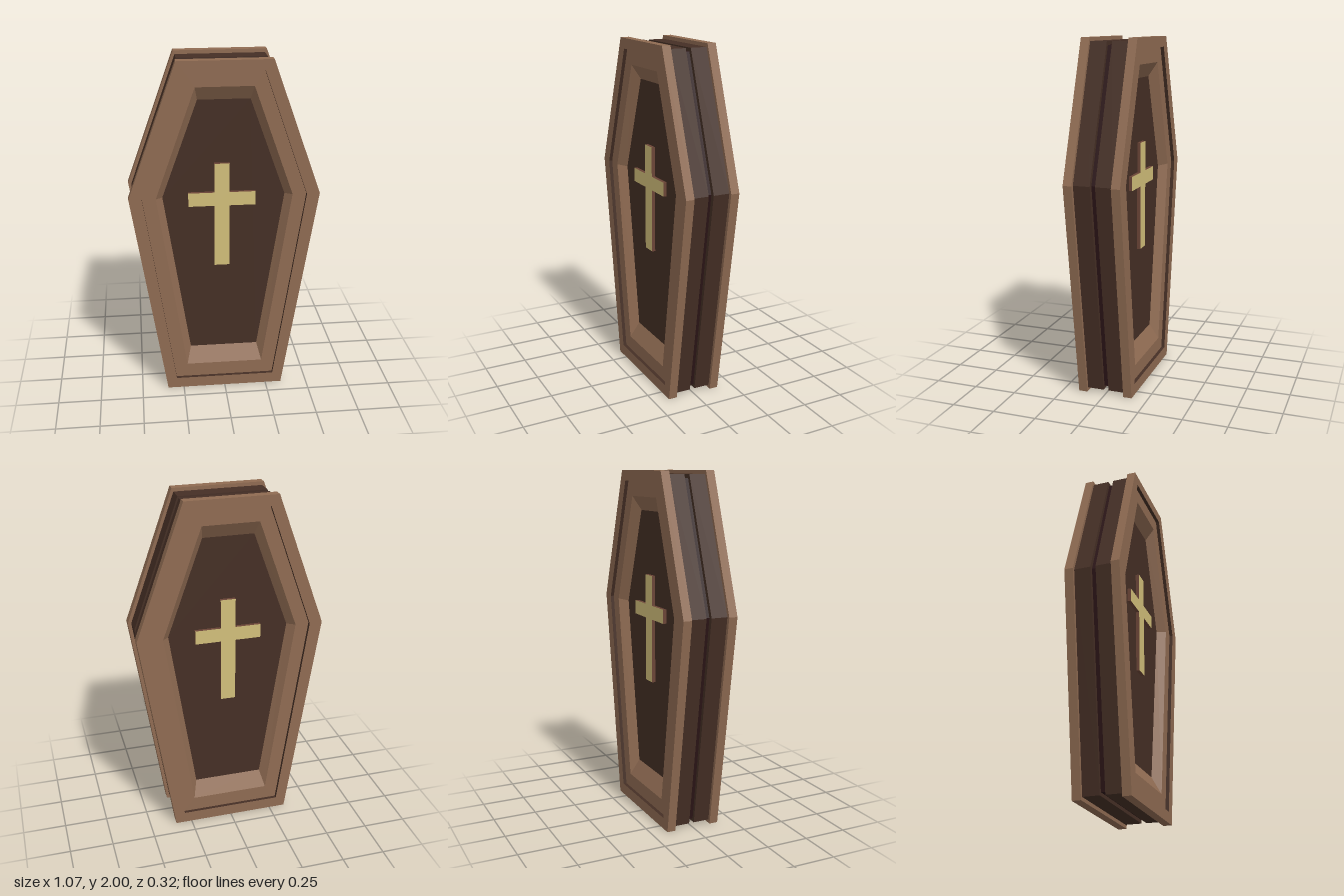
import * as THREE from 'three';

const material = (name, color) => {
  const m = new THREE.MeshStandardMaterial({ color });
  m.name = name;
  return m;
};

// Six-sided coffin outline, counter-clockwise seen from the front
const outline = (yBottom, xBottom, yMid, xMid, yTop, xTop) => [
  [xBottom, yBottom], [xMid, yMid], [xTop, yTop],
  [-xTop, yTop], [-xMid, yMid], [-xBottom, yBottom],
];

// Flat-sided band joining two outlines at two depths
function band(a, za, b, zb) {
  const pos = [];
  for (let i = 0; i < 6; i++) {
    const j = (i + 1) % 6;
    const a0 = [...a[i], za], a1 = [...a[j], za], b0 = [...b[i], zb], b1 = [...b[j], zb];
    pos.push(...a0, ...a1, ...b1, ...a0, ...b1, ...b0);
  }
  const g = new THREE.BufferGeometry();
  g.setAttribute('position', new THREE.Float32BufferAttribute(pos, 3));
  g.computeVertexNormals();
  return g;
}

const shapeOf = (pts) => new THREE.Shape(pts.map(([x, y]) => new THREE.Vector2(x, y)));

export function createModel() {
  const wood = material('lightWood', 0x8f6b52);
  const dark = material('darkWood', 0x452f25);
  const seamMat = material('seamShadow', 0x2b1416);
  const gold = material('paleGold', 0xd2bf7a);
  const edge = material('crossEdge', 0x6a4436);

  const seam = outline(0.04, 0.315, 1.24, 0.49, 1.96, 0.235);
  const body = outline(0.02, 0.33, 1.24, 0.515, 1.98, 0.25);
  const rim = outline(0, 0.345, 1.24, 0.535, 2, 0.26);
  const step = outline(0.065, 0.292, 1.236, 0.462, 1.94, 0.214);
  const opening = outline(0.15, 0.225, 1.23, 0.384, 1.855, 0.16);
  const floor = outline(0.245, 0.2, 1.22, 0.346, 1.775, 0.145);

  // Profile from the centre seam out to the rim and into the recess
  const profile = [
    ['seam', seam, 0, seam, 0.015, seamMat],
    ['bodyLip', seam, 0.015, body, 0.015, dark],
    ['bodySide', body, 0.015, body, 0.11, dark],
    ['rimUnderside', body, 0.11, rim, 0.11, wood],
    ['rimSide', rim, 0.11, rim, 0.16, wood],
    ['rimFace', rim, 0.16, step, 0.16, wood],
    ['rimStep', step, 0.16, step, 0.14, dark],
    ['innerFrame', step, 0.14, opening, 0.14, wood],
    ['recessWall', opening, 0.14, floor, 0.09, wood],
  ];

  function half(crossX) {
    const group = new THREE.Group();
    const add = (name, geometry, mat) => {
      const mesh = new THREE.Mesh(geometry, mat);
      mesh.name = name;
      group.add(mesh);
      return mesh;
    };
    for (const [name, a, za, b, zb, mat] of profile) add(name, band(a, za, b, zb), mat);
    add('panel', new THREE.ShapeGeometry(shapeOf(floor)), dark).position.z = 0.09;

    // Raised cross with darker edges
    const w = 0.043, arm = 0.19, lo = 1.165, hi = 1.245, top = 1.415, bottom = 0.795;
    const cross = new THREE.ExtrudeGeometry(shapeOf([
      [-w, bottom], [w, bottom], [w, lo], [arm, lo], [arm, hi], [w, hi],
      [w, top], [-w, top], [-w, hi], [-arm, hi], [-arm, lo], [-w, lo],
    ]), { depth: 0.02, bevelEnabled: false });
    add('cross', cross, [gold, edge]).position.set(crossX, 0, 0.09);
    return group;
  }

  const model = new THREE.Group();
  model.name = 'coffin';
  const front = half(-0.012);
  front.name = 'frontHalf';
  const back = half(-0.006);
  back.name = 'backHalf';
  back.rotation.y = Math.PI;
  model.add(front, back);
  return model;
}
